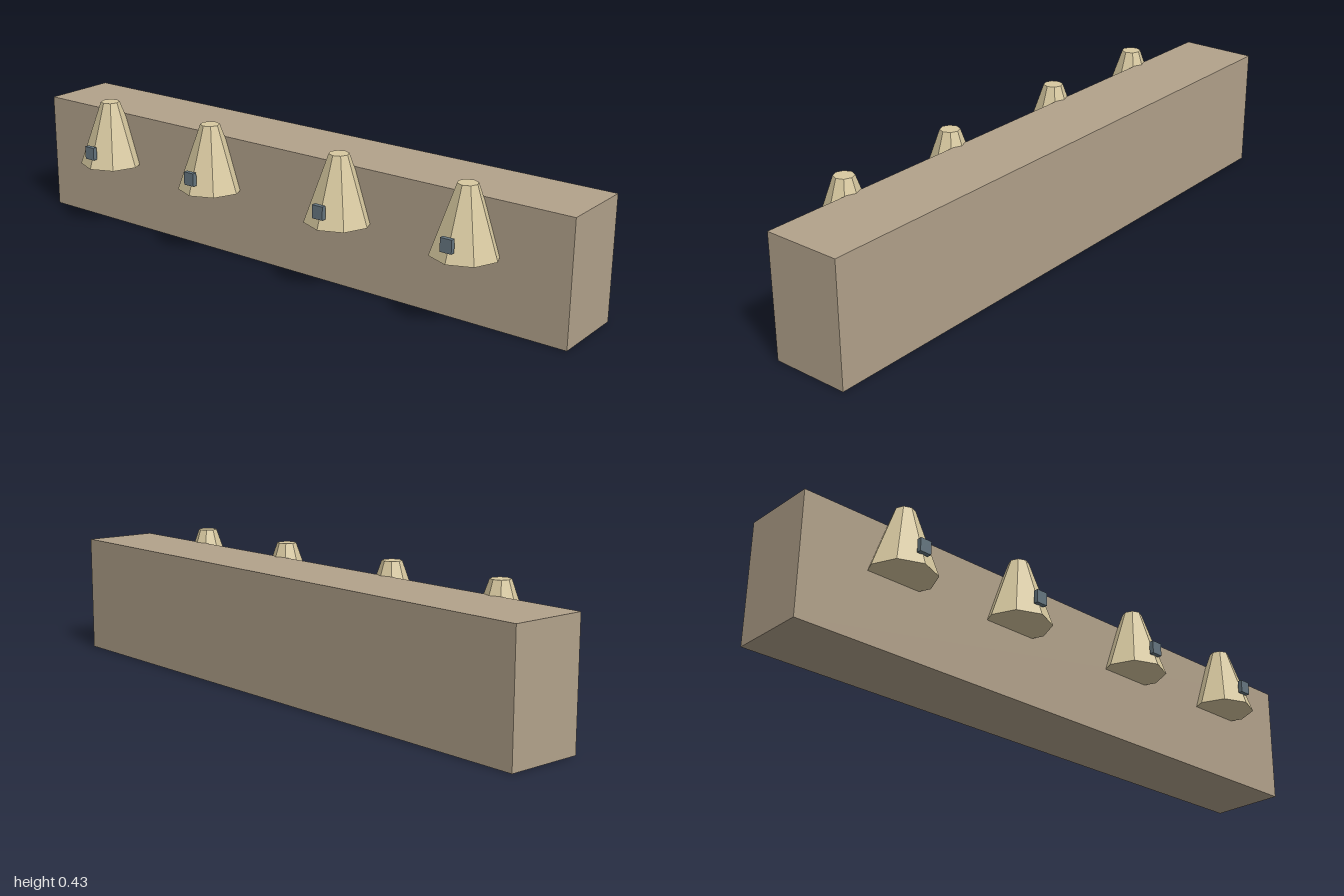
import * as THREE from 'three';

export function createModel() {
  const model = new THREE.Group();
  const mat = (name, color) => {
    const m = new THREE.MeshStandardMaterial({ color });
    m.name = name;
    return m;
  };
  const stone = mat('brown stone', 0xb2a28b);
  const sand = mat('pale sand', 0xd8c9a0);
  const slate = mat('slate blue', 0x65757f);

  const add = (name, geometry, material, x, y, z, parent = model) => {
    const mesh = new THREE.Mesh(geometry, material);
    mesh.name = name;
    mesh.position.set(x, y, z);
    parent.add(mesh);
  };

  // Long block standing on the ground
  add('block', new THREE.BoxGeometry(2, 0.388, 0.25), stone, 0, 0.194, -0.07);

  // Eight-sided tapered towers half sunk in the front face, each with a small window
  const towerGeo = new THREE.CylinderGeometry(0.031, 0.105, 0.21, 8).toNonIndexed();
  towerGeo.computeVertexNormals();
  const windowGeo = new THREE.BoxGeometry(0.0375, 0.042, 0.015);
  [-0.6875, -0.25, 0.25, 0.6875].forEach((x, i) => {
    const tower = new THREE.Group();
    tower.name = `tower${i + 1}`;
    tower.position.set(x, 0, 0.09);
    add('towerBody', towerGeo, sand, 0, 0.326, 0, tower);
    add('towerWindow', windowGeo, slate, 0, 0.276, 0.0975, tower);
    model.add(tower);
  });

  return model;
}
